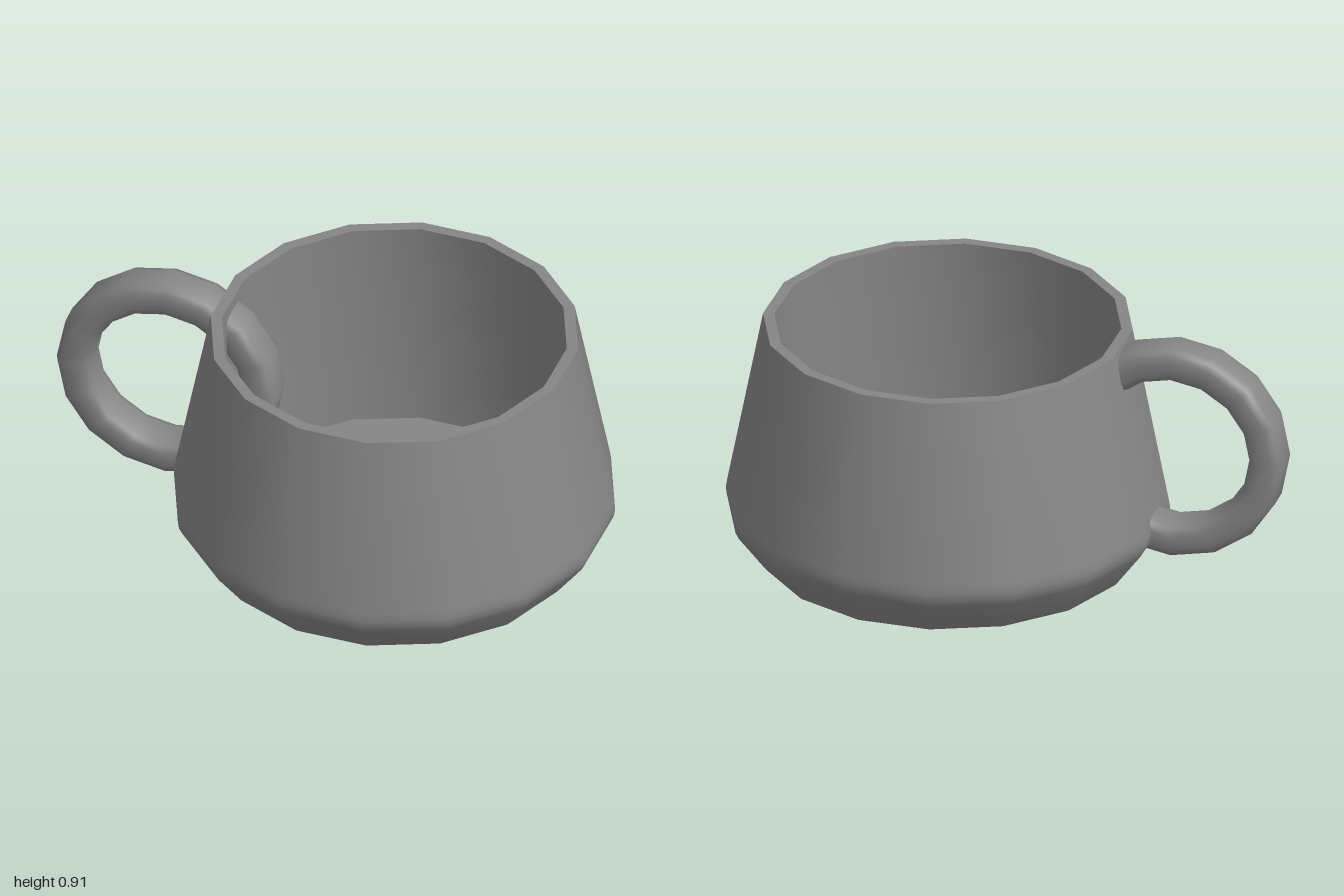
import * as THREE from 'three';
import { toCreasedNormals } from 'three/addons/utils/BufferGeometryUtils.js';

const SIDES = 16;

// Revolve a profile, keeping hard edges sharp and the rest smooth
function revolve(profile, creaseAngle) {
  const points = profile.map(([r, y]) => new THREE.Vector2(r, y));
  return toCreasedNormals(new THREE.LatheGeometry(points, SIDES), creaseAngle);
}

export function createModel() {
  const model = new THREE.Group();
  model.name = 'cup';
  const material = new THREE.MeshStandardMaterial({ color: 0x868686 });

  // Hollow body: base, soft shoulder, tapered wall, rim, straight bore and floor
  const body = new THREE.Mesh(revolve([
    [0, 0], [0.665, 0],
    [0.765, 0.135], [0.777, 0.16], [0.781, 0.19], [0.776, 0.22],
    [0.65, 0.875], [0.61, 0.875],
    [0.61, 0.05], [0, 0.05],
  ], 0.75), material);
  body.name = 'body';
  body.position.x = 0.218;
  model.add(body);

  // Ring handle: rounded-rectangle section, slightly wider than thick, passing through the wall
  const corner = 0.037, halfThick = 0.063, halfWide = 0.078;
  const section = [];
  for (let q = 0; q < 4; q++) {
    const sx = q === 0 || q === 3 ? 1 : -1;
    const sy = q < 2 ? 1 : -1;
    for (let k = 0; k < 3; k++) {
      const a = (q + k / 2) * Math.PI / 2;
      section.push([
        0.3425 + sx * (halfThick - corner) + corner * Math.cos(a),
        sy * (halfWide - corner) + corner * Math.sin(a),
      ]);
    }
  }
  section.push(section[0]);
  const ring = revolve(section, 1.1);
  ring.rotateX(Math.PI / 2);
  const handle = new THREE.Mesh(ring, material);
  handle.name = 'handle';
  handle.position.set(-0.597, 0.505, -0.158);
  handle.rotation.y = -0.165;
  model.add(handle);

  return model;
}
